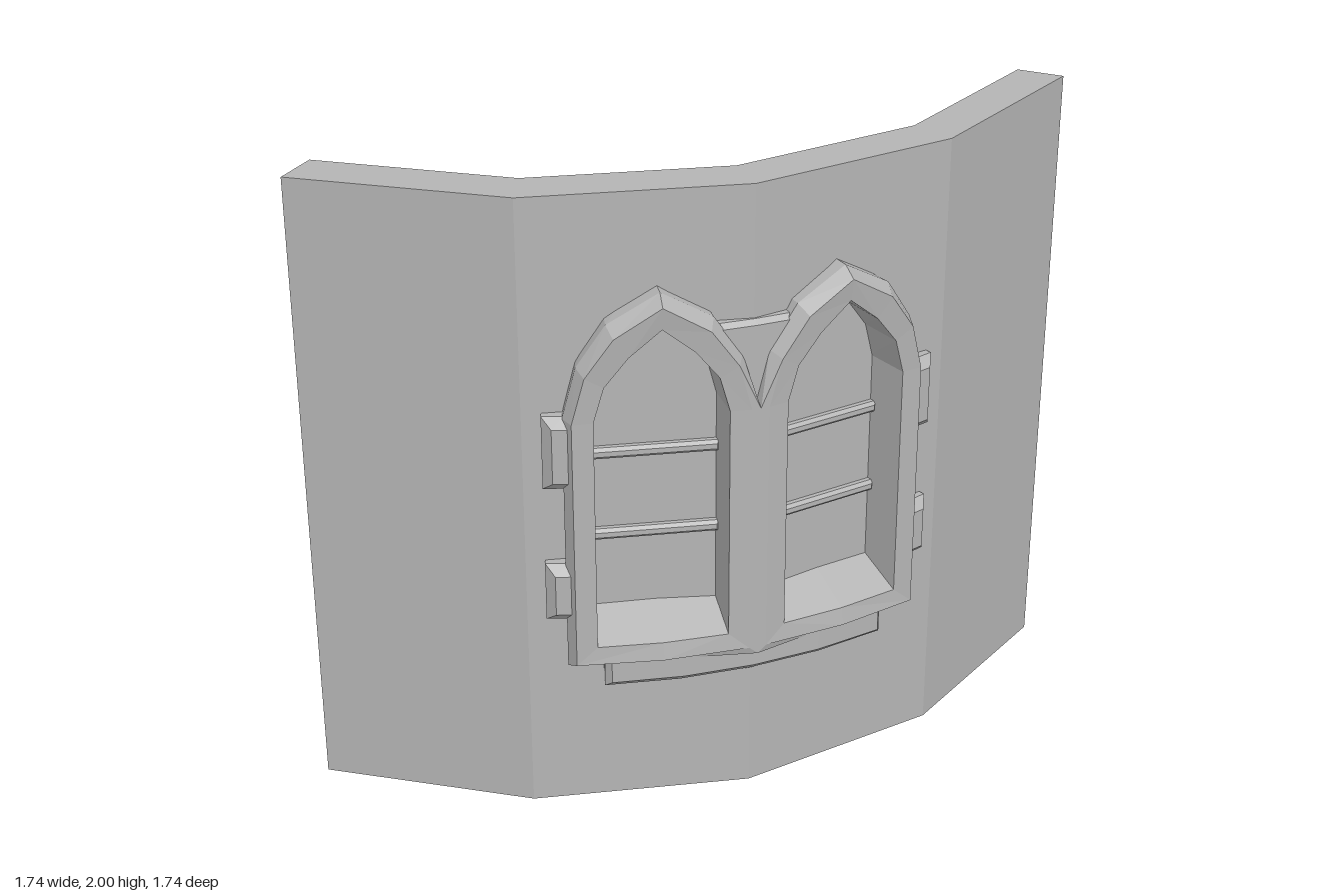
import * as THREE from 'three';

const stone = new THREE.MeshStandardMaterial({ color: 0xb4b4b4 });
stone.name = 'grey stone';

const CENTRE = -0.87, RAD = Math.PI / 180, STEP = 22.5;
const R_IN = 1.587, R_OUT = 1.735;

// angle from the bay centre (degrees), height, radius -> position
function polar(a, y, r) {
  const t = (45 + a) * RAD;
  return new THREE.Vector3(CENTRE + r * Math.sin(t), y, CENTRE + r * Math.cos(t));
}
// same, but flattened onto the straight wall facet that starts at angle "from"
function facet(from) {
  return (a, y, r) => polar(a, y,
    r * Math.cos(STEP / 2 * RAD) / Math.cos((a - from - STEP / 2) * RAD));
}

function finish(geo, name) {
  const flat = geo.index ? geo.toNonIndexed() : geo;
  flat.computeVertexNormals();
  const mesh = new THREE.Mesh(flat, stone);
  mesh.name = name;
  return mesh;
}

function bend(geo, place) {
  const p = geo.attributes.position;
  for (let i = 0; i < p.count; i++) {
    const v = place(p.getX(i), p.getY(i), p.getZ(i));
    p.setXYZ(i, v.x, v.y, v.z);
  }
  return geo;
}

// lancet outline: [outer angle, outer y, inner angle, inner y]
const LANCET = [
  [0, 0.50, 2.9, 0.58], [0, 1.33, 2.9, 1.33],
  [1.35, 1.49, 3.9, 1.44], [4.2, 1.62, 6.2, 1.53], [9.3, 1.71, 9.3, 1.61],
  [14.4, 1.62, 12.4, 1.53], [17.25, 1.49, 14.7, 1.44], [18.6, 1.33, 15.7, 1.33],
  [18.6, 0.50, 15.7, 0.58], [9.3, 0.50, 9.3, 0.58],
];
const blend = (row, k) => [
  THREE.MathUtils.lerp(row[0], row[2], k), THREE.MathUtils.lerp(row[1], row[3], k)];
const lancetPoints = (k, side) => LANCET.map(row => {
  const [a, y] = blend(row, k);
  return new THREE.Vector2(a * side, y);
});

// flat slab in (angle, y), bent onto one wall facet
function slab(shape, from, r0, r1, name) {
  const geo = new THREE.ExtrudeGeometry(shape, { depth: 1, bevelEnabled: false });
  const place = facet(from);
  return finish(bend(geo, (a, y, f) => place(a, y, r0 + (r1 - r0) * f)), name);
}

// block with chamfered front and back faces; "taper" narrows its foot
function block(name, a0, a1, y0, y1, r0, r1, o = {}) {
  const { c = 0.03, place = polar, segs = 2, taper = 1 } = o;
  const geo = new THREE.BoxGeometry(1, 1, 1, segs, 1, 3);
  const am = (a0 + a1) / 2, ym = (y0 + y1) / 2;
  const cAngle = c / 1.7 / RAD;
  return finish(bend(geo, (u, v, w) => {
    const end = Math.abs(w) > 0.4;
    const wide = (a1 - a0 - (end ? 2 * cAngle : 0)) * (v < 0 ? taper : 1);
    const tall = y1 - y0 - (end ? 2 * c : 0);
    const r = end ? (w > 0 ? r1 : r0) : (w > 0 ? r1 - c : r0 + c);
    return place(am + u * wide, ym + v * tall, r);
  }), name);
}

// frame cross-section: [0 outer .. 1 opening, radius, sill rise]
const SECTION = [
  [0, 1.55, 0], [0, 1.75, 0], [0.3, 1.795, 0], [1, 1.785, 0],
  [1, 1.635, 0.07], [1, 1.475, 0], [0.3, 1.455, 0], [0, 1.50, 0],
];
function lancetFrame(side) {
  const pos = [], idx = [], n = LANCET.length, m = SECTION.length;
  LANCET.forEach((row, i) => SECTION.forEach(([k, r, rise], j) => {
    const [a, y] = blend(row, k);
    // the shared mullion keeps a flat face, without the outer bevel
    const mullion = i < 2;
    const radius = mullion && j === 1 ? 1.795 : mullion && j === 7 ? 1.455 : r;
    pos.push(...polar(a * side, y + (row[1] < 0.6 ? rise : 0), radius).toArray());
  }));
  for (let i = 0; i < n; i++) for (let j = 0; j < m; j++) {
    const i2 = (i + 1) % n, j2 = (j + 1) % m;
    const A = i * m + j, B = i * m + j2, C = i2 * m + j2, D = i2 * m + j;
    if (side > 0) idx.push(A, B, C, A, C, D);
    else idx.push(A, C, B, A, D, C);
  }
  const geo = new THREE.BufferGeometry();
  geo.setAttribute('position', new THREE.Float32BufferAttribute(pos, 3));
  geo.setIndex(idx);
  return finish(geo, 'lancetFrame');
}

export function createModel() {
  const model = new THREE.Group();
  model.name = 'curvedWallWithWindow';

  // four straight wall facets, the middle two pierced by a window each
  for (let i = 0; i < 4; i++) {
    const from = -45 + i * STEP, to = from + STEP;
    const shape = new THREE.Shape([[from, 0], [to, 0], [to, 2], [from, 2]]
      .map(([x, y]) => new THREE.Vector2(x, y)));
    if (i === 1 || i === 2) shape.holes.push(new THREE.Path(lancetPoints(0.5, i === 1 ? -1 : 1)));
    model.add(slab(shape, from, R_IN, R_OUT, 'wallFacet'));
  }

  for (const side of [-1, 1]) {
    const win = new THREE.Group();
    win.name = side > 0 ? 'leftWindow' : 'rightWindow';
    const from = side > 0 ? 0 : -STEP, place = facet(from);
    const span = (a, b) => side > 0 ? [a, b] : [-b, -a];
    win.add(lancetFrame(side));

    // window pane and its horizontal bars
    win.add(slab(new THREE.Shape(lancetPoints(0.9, side)), from, 1.64, 1.67, 'pane'));
    for (const y of [0.895, 1.165])
      win.add(block('glazingBar', ...span(2.7, 15.9), y - 0.018, y + 0.018, 1.615, 1.695,
        { c: 0.01, place, segs: 1 }));

    // stones keyed into the outer jamb
    for (const [y0, y1] of [[0.66, 0.85], [1.10, 1.335]])
      win.add(block('jambStone', ...span(16.4, 20.6), y0, y1, 1.455, 1.775));
    model.add(win);
  }

  // ledge under the windows and the filler between the arches
  model.add(block('ledge', -15, 15, 0.42, 0.53, 1.505, 1.765, { c: 0.02, segs: 4 }));
  model.add(block('spandrel', -4.3, 4.3, 1.33, 1.59, 1.495, 1.755, { c: 0.015, taper: 0.4 }));
  return model;
}
